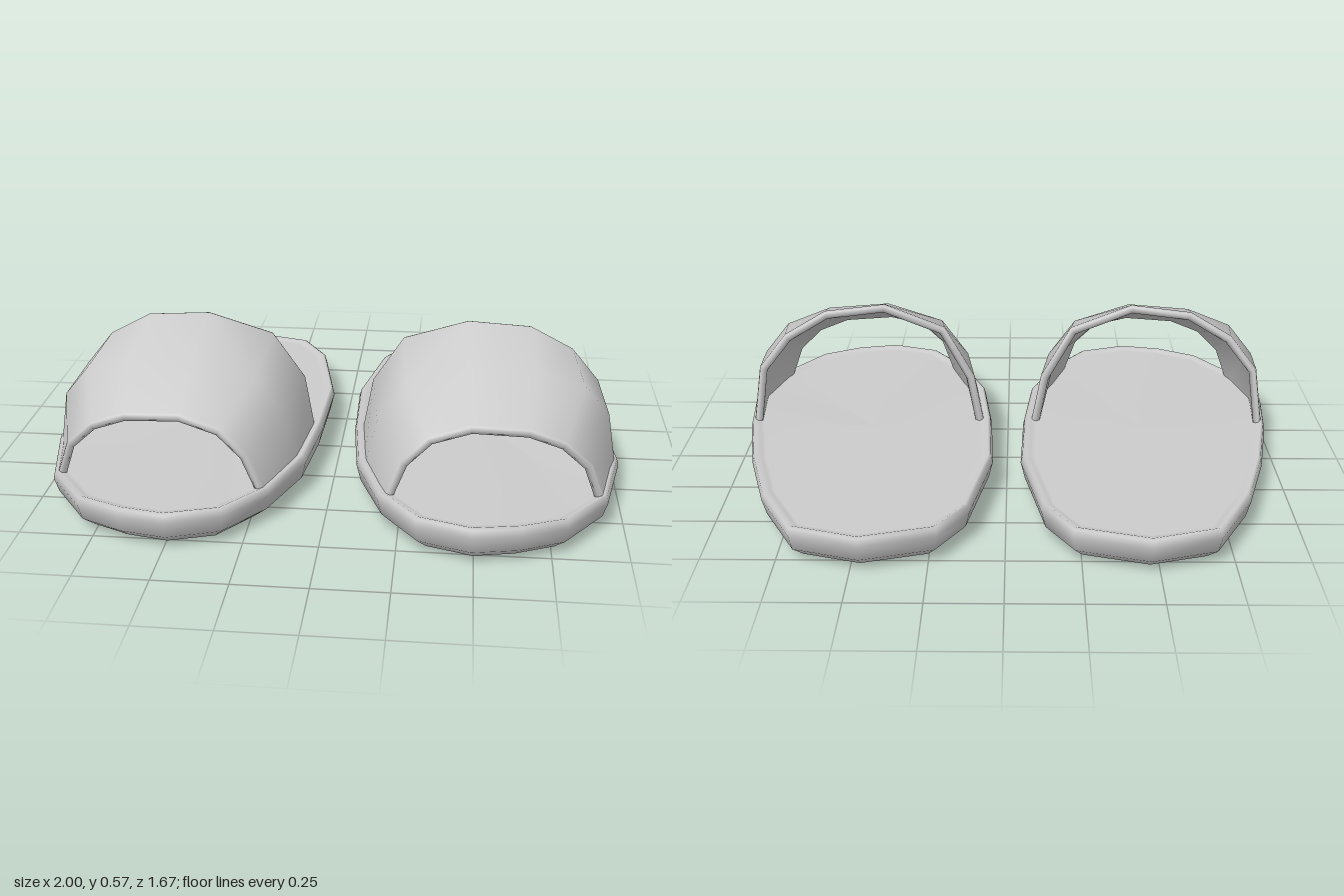
import * as THREE from 'three';

// Sole outline, clockwise from the heel: x, z, rim height
const OUTLINE = [
  [0.47, -0.84, 0.132], [0.70, -0.77, 0.132], [0.83, -0.53, 0.132], [0.91, -0.27, 0.137],
  [0.97, 0.02, 0.143], [1.0, 0.27, 0.135], [0.94, 0.54, 0.125], [0.80, 0.73, 0.13],
  [0.65, 0.80, 0.134], [0.49, 0.83, 0.135], [0.31, 0.77, 0.134], [0.18, 0.60, 0.13],
  [0.09, 0.36, 0.135], [0.06, 0.08, 0.137], [0.05, -0.25, 0.135], [0.12, -0.61, 0.132], [0.22, -0.77, 0.132],
];

// Strap arches from the outer to the inner side of the foot: x, y, z
const BACK = [
  [0.965, 0.09, 0.02], [0.93, 0.34, 0.05], [0.83, 0.465, 0.07], [0.68, 0.55, 0.09],
  [0.46, 0.57, 0.11], [0.235, 0.49, 0.085], [0.125, 0.31, 0.05], [0.085, 0.09, 0.06],
];
const MIDDLE = [
  [0.99, 0.09, 0.28], [0.95, 0.31, 0.30], [0.86, 0.42, 0.32], [0.70, 0.475, 0.35],
  [0.47, 0.49, 0.36], [0.26, 0.42, 0.36], [0.16, 0.28, 0.36], [0.115, 0.09, 0.36],
];
const FRONT = [
  [0.935, 0.09, 0.54], [0.88, 0.24, 0.56], [0.79, 0.325, 0.575], [0.67, 0.37, 0.585],
  [0.48, 0.38, 0.595], [0.34, 0.34, 0.61], [0.25, 0.25, 0.615], [0.19, 0.09, 0.60],
];

// Joins closed rings of points into one smooth skin; side -1 mirrors it
function loft(rings, side) {
  const n = rings[0].length, index = [];
  for (let i = 0; i < rings.length - 1; i++) {
    for (let j = 0; j < n; j++) {
      const k = (j + 1) % n;
      const a = i * n + j, b = i * n + k, c = a - j + n + k, d = a + n;
      if (side > 0) index.push(a, d, c, a, c, b);
      else index.push(a, c, d, a, b, c);
    }
  }
  const points = rings.flat().map(([x, y, z]) => [x * side, y, z]);
  const geometry = new THREE.BufferGeometry();
  geometry.setAttribute('position', new THREE.Float32BufferAttribute(points.flat(), 3));
  geometry.setIndex(index);
  geometry.computeVertexNormals();
  return geometry;
}

// Unit normal to the left of the step from p to q in a plane
function leftNormal(p, q) {
  const u = q[0] - p[0], v = q[1] - p[1], l = Math.hypot(u, v);
  return [-v / l, u / l];
}

// Sole: outline inset at several heights, closed at the bottom and top centres
function soleGeometry(side) {
  const n = OUTLINE.length;
  const ring = (inset, height) => OUTLINE.map((p, i) => {
    const [nx, nz] = leftNormal(OUTLINE[(i + n - 1) % n], OUTLINE[(i + 1) % n]);
    return [p[0] + nx * inset, height(p[2]), p[1] + nz * inset];
  });
  const centre = (y) => OUTLINE.map(() => [0.5, y, 0]);
  return loft([
    centre(0),
    ring(0.09, () => 0),
    ring(0.06, () => 0.008),
    ring(0.015, () => 0.045),
    ring(0, (y) => y - 0.03),
    ring(0.006, (y) => y - 0.006),
    ring(0.016, (y) => y),
    ring(0.035, (y) => y - 0.008),
    ring(0.05, (y) => y - 0.011),
    centre(0.128),
  ], side);
}

// Strap: closed band section swept over the arch, with rounded lips
function strapGeometry(side) {
  const thickness = 0.03, lip = 0.012;
  const rings = BACK.map((_, i) => {
    const at = (arch, depth, dz) => {
      const p = arch[Math.max(i - 1, 0)], q = arch[Math.min(i + 1, arch.length - 1)];
      const [nx, ny] = leftNormal(p, q);
      const [x, y, z] = arch[i];
      return [x + nx * depth, y + ny * depth, z + dz];
    };
    return [
      at(BACK, thickness / 2, 0), at(BACK, 0.004, 0.006), at(BACK, 0, lip * 1.5),
      at(MIDDLE, 0, 0),
      at(FRONT, 0, -lip * 1.5), at(FRONT, 0.004, -0.006), at(FRONT, thickness / 2, 0),
      at(FRONT, thickness, -lip),
      at(MIDDLE, thickness, 0),
      at(BACK, thickness, lip),
    ];
  });
  return loft(rings, side);
}

export function createModel() {
  const material = new THREE.MeshStandardMaterial({ color: 0xcccccc });
  const model = new THREE.Group();
  model.name = 'sandals';
  for (const [side, word] of [[1, 'left'], [-1, 'right']]) {
    const sandal = new THREE.Group();
    sandal.name = word + 'Sandal';
    const sole = new THREE.Mesh(soleGeometry(side), material);
    sole.name = 'sole';
    const strap = new THREE.Mesh(strapGeometry(side), material);
    strap.name = 'strap';
    sandal.add(sole, strap);
    model.add(sandal);
  }
  return model;
}
